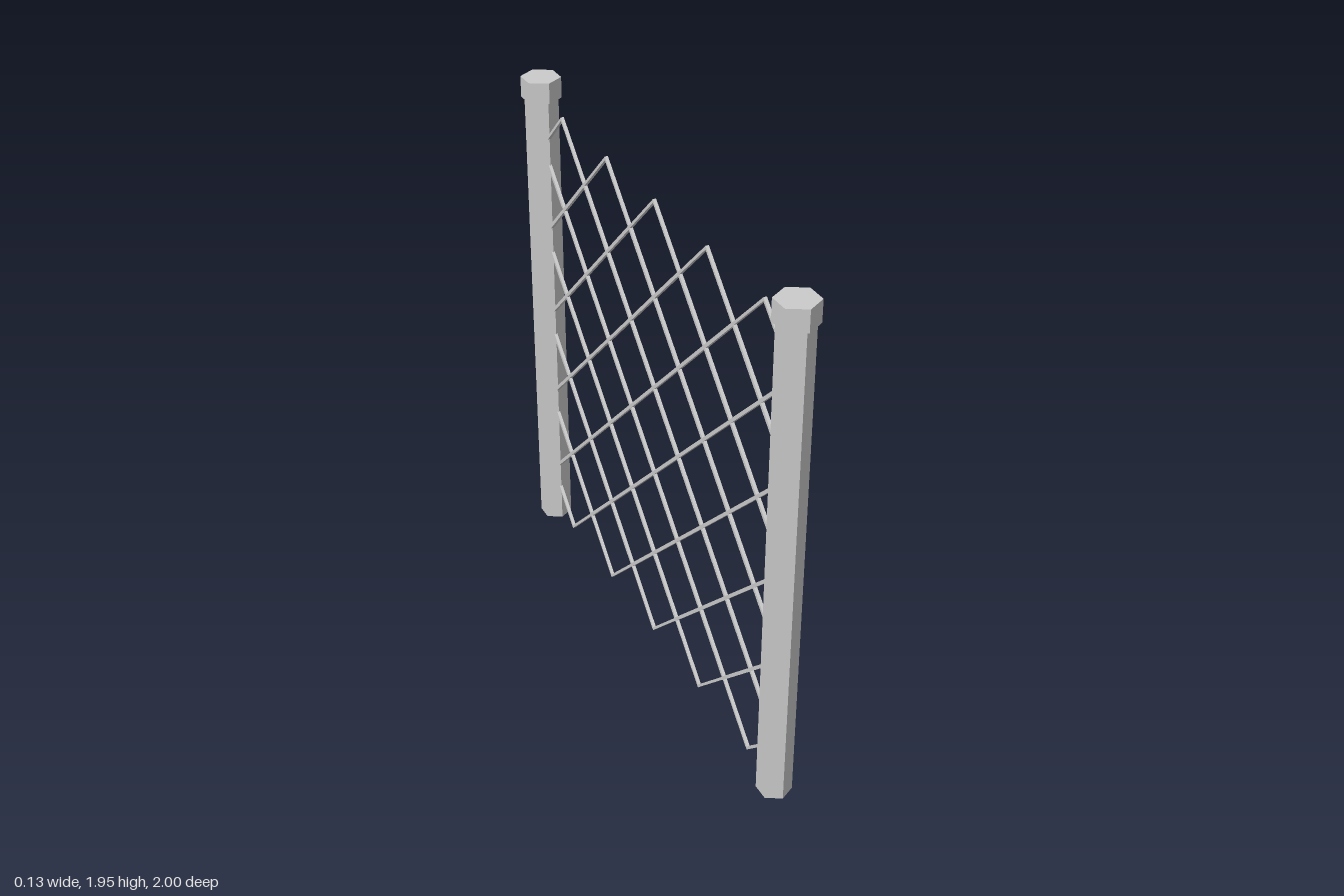
import * as THREE from 'three';

const material = new THREE.MeshStandardMaterial({ color: 0xcccccc, flatShading: true });

const POST_Z = 0.925;  // post centres
const BANDS = 10;      // zigzag wires stacked from top to bottom
const STEP_Z = 0.185;  // half a mesh opening along the fence
const TOP = 1.855;
const BOTTOM = 0.03;
const DEPTH = 0.012;

function hexPrism(name, radius, y0, y1) {
  const geometry = new THREE.CylinderGeometry(radius, radius, y1 - y0, 6);
  geometry.translate(0, (y0 + y1) / 2, 0);
  const mesh = new THREE.Mesh(geometry, material);
  mesh.name = name;
  return mesh;
}

// One mitred zigzag wire running from post centre to post centre
function zigzagWire(band) {
  const stepY = (TOP - BOTTOM) / BANDS;
  const bandTop = TOP - band * stepY;
  const outer = band === 0 || band === BANDS - 1;
  const half = outer ? 0.007 : 0.009;
  const upper = [], lower = [];
  for (let i = -5; i <= 5; i++) {
    const high = (i + 5 + band) % 2 === 1;
    const y = high ? bandTop : bandTop - stepY;
    upper.push(new THREE.Vector2(i * STEP_Z, y + half));
    lower.unshift(new THREE.Vector2(i * STEP_Z, y - half));
  }
  const geometry = new THREE.ExtrudeGeometry(new THREE.Shape([...upper, ...lower]), {
    depth: DEPTH, bevelEnabled: false,
  });
  geometry.translate(0, 0, -DEPTH / 2);
  geometry.rotateY(-Math.PI / 2);
  const mesh = new THREE.Mesh(geometry, material);
  mesh.name = 'zigzagWire';
  return mesh;
}

export function createModel() {
  const model = new THREE.Group();
  model.name = 'fencePanel';

  // Hexagonal posts with wider caps
  for (const side of [1, -1]) {
    const post = new THREE.Group();
    post.name = side > 0 ? 'frontPost' : 'backPost';
    post.add(hexPrism('postShaft', 0.063, 0, 1.87));
    post.add(hexPrism('postCap', 0.075, 1.87, 1.95));
    post.position.z = side * POST_Z;
    model.add(post);
  }

  // Diamond wire mesh
  const mesh = new THREE.Group();
  mesh.name = 'wireMesh';
  for (let band = 0; band < BANDS; band++) mesh.add(zigzagWire(band));
  model.add(mesh);

  return model;
}
